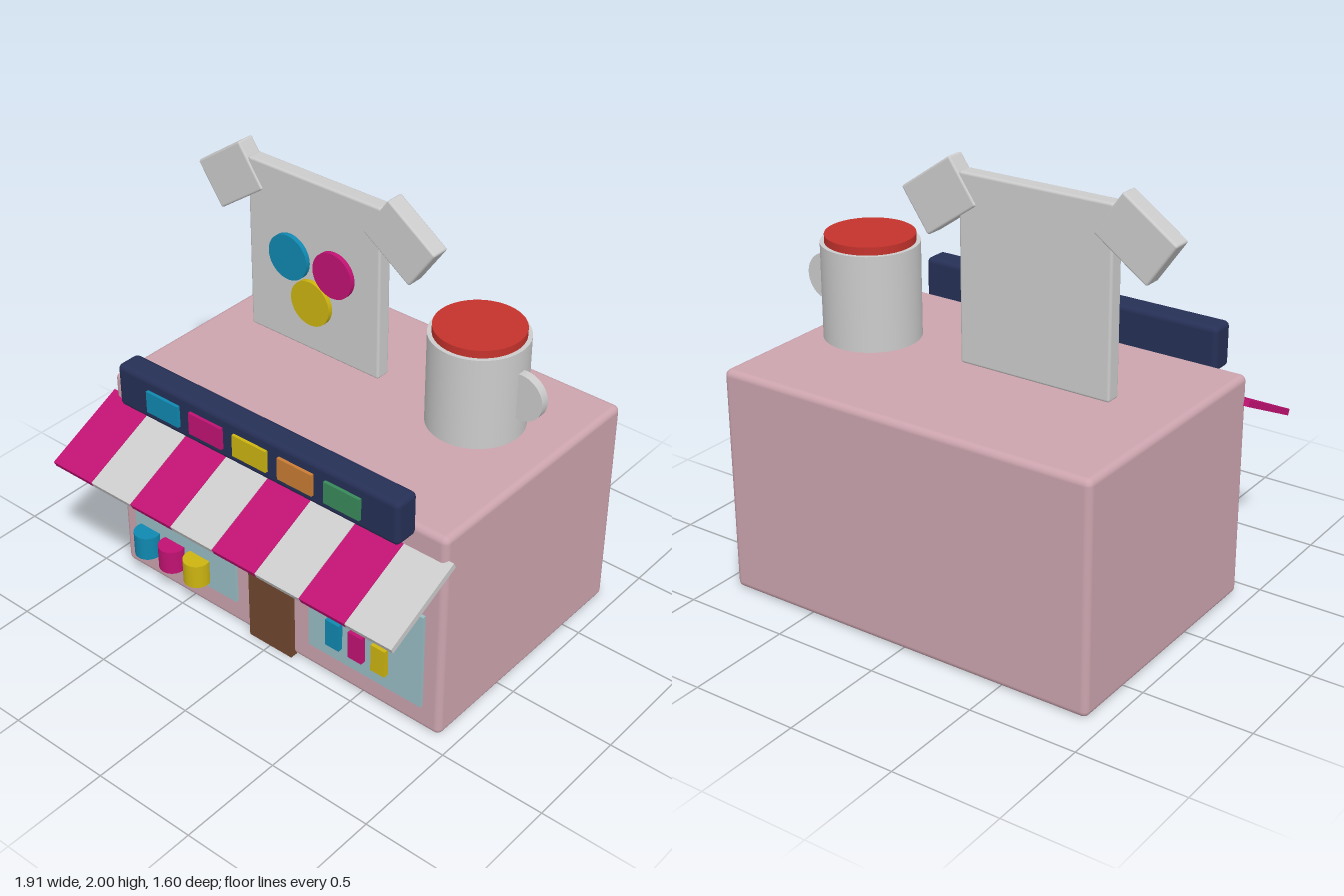
import * as THREE from 'three';
import { RoundedBoxGeometry } from 'three/addons/geometries/RoundedBoxGeometry.js';

const GREY = 0xcccccc, CYAN = 0x1088b0, MAGENTA = 0xc01272, YELLOW = 0xccb410;
const ORANGE = 0xc87c34, GREEN = 0x388a5a, PINK = 0xcca4ae, NAVY = 0x263056;
const RED = 0xc4322c, BROWN = 0x70482f, GLASS = 0x98bcc4;

export function createModel() {
  const model = new THREE.Group();

  function add(name, geometry, color, x, y, z, parent = model) {
    const mesh = new THREE.Mesh(geometry, new THREE.MeshStandardMaterial({ color }));
    mesh.name = name;
    mesh.position.set(x, y, z);
    parent.add(mesh);
    return mesh;
  }
  // box given by its limits along each axis; r > 0 rounds the edges
  function box(name, color, [x0, x1], [y0, y1], [z0, z1], r = 0, parent = model) {
    const size = [x1 - x0, y1 - y0, z1 - z0];
    const geometry = r ? new RoundedBoxGeometry(...size, 3, r) : new THREE.BoxGeometry(...size);
    return add(name, geometry, color, (x0 + x1) / 2, (y0 + y1) / 2, (z0 + z1) / 2, parent);
  }
  function group(name) {
    const g = new THREE.Group();
    g.name = name;
    model.add(g);
    return g;
  }
  // flat round disc facing +z
  const disc = (r, depth) => new THREE.CylinderGeometry(r, r, depth, 48).rotateX(Math.PI / 2);

  // shop building
  box('building', PINK, [-0.92, 0.925], [0, 1.05], [-0.8, 0.43], 0.03);
  box('door', BROWN, [-0.12, 0.125], [0, 0.56], [0.42, 0.457]);
  box('leftWindow', GLASS, [0.22, 0.835], [0.13, 0.62], [0.42, 0.447]);
  box('rightWindow', GLASS, [-0.83, -0.21], [0.13, 0.62], [0.42, 0.447]);

  // goods on display in the windows
  const goods = group('windowGoods');
  [CYAN, MAGENTA, YELLOW].forEach((color, i) => {
    add('displayCup', new THREE.CylinderGeometry(0.063, 0.063, 0.12, 32), color,
      -0.737 + i * 0.155, 0.22, 0.468, goods);
    const x = 0.335 + i * 0.125;
    box('displayCard', color, [x, x + 0.075], [0.21, 0.35], [0.445, 0.472], 0, goods);
  });

  // striped sloping awning
  const awning = group('awning');
  awning.position.set(0.002, 0.835, 0.598);
  awning.rotation.x = 0.447;
  const pitch = 0.237;
  for (let i = 0; i < 8; i++) {
    add('awningStripe', new THREE.BoxGeometry(pitch - 0.002, 0.03, 0.43),
      i % 2 ? GREY : MAGENTA, (i - 3.5) * pitch, 0, 0, awning);
  }

  // sign board with coloured plaques
  const sign = group('sign');
  box('signBoard', NAVY, [-0.765, 0.775], [1.01, 1.22], [0.425, 0.548], 0.025, sign);
  [CYAN, MAGENTA, YELLOW, ORANGE, GREEN].forEach((color, i) => {
    const x = -0.58 + i * 0.2465;
    box('signPlaque', color, [x, x + 0.184], [1.06, 1.165], [0.54, 0.563], 0, sign);
  });

  // shirt standing over the roof
  const shirt = group('shirt');
  box('shirtBody', GREY, [-0.67, 0.062], [1.11, 1.945], [-0.277, -0.203], 0.012, shirt);
  for (const side of [-1, 1]) {
    const sleeve = add('sleeve', new RoundedBoxGeometry(0.3, 0.23, 0.088, 3, 0.01), GREY,
      -0.305 + side * 0.467, 1.822, -0.24, shirt);
    sleeve.rotation.z = -side * 0.61;
  }
  for (const [x, y, color] of [[-0.43, 1.545, CYAN], [-0.18, 1.545, MAGENTA], [-0.305, 1.36, YELLOW]]) {
    add('shirtDot', disc(0.108, 0.03), color, x, y, -0.195, shirt);
  }

  // mug beside the shirt
  const mug = group('mug');
  mug.position.set(0.56, 0, -0.238);
  add('mugBody', new THREE.CylinderGeometry(0.215, 0.215, 0.43, 64), GREY, 0, 1.325, 0, mug);
  add('mugFilling', new THREE.CylinderGeometry(0.196, 0.196, 0.06, 64), RED, 0, 1.545, 0, mug);
  add('mugHandle', disc(0.108, 0.04), GREY, 0.23, 1.33, 0, mug);

  return model;
}
